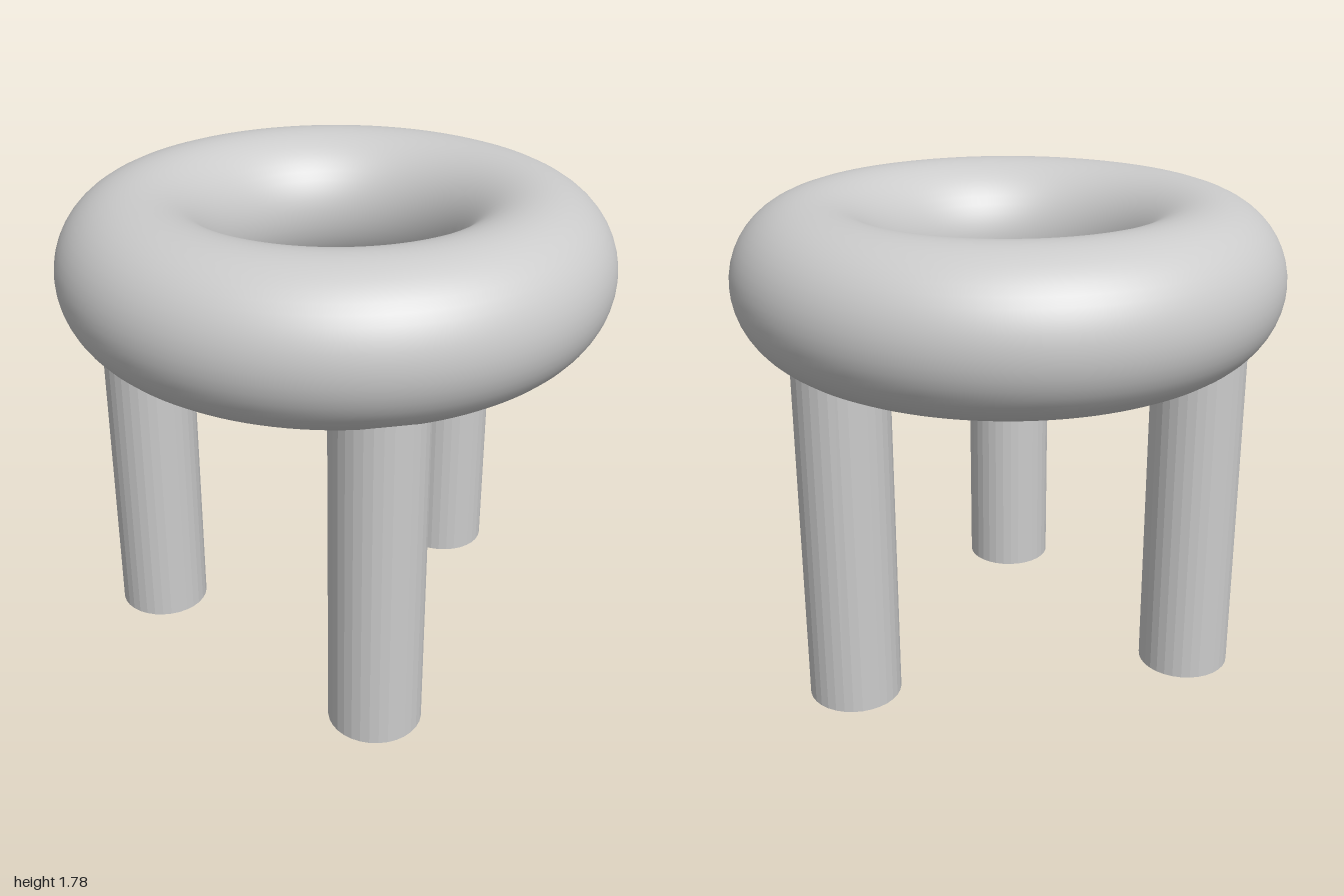
import * as THREE from 'three';

const RING_RADIUS = 0.715;
const TUBE_RADIUS = 0.285;
const SEAT_HEIGHT = 1.5;
const LEG_RADIUS = 0.17;

export function createModel() {
  const model = new THREE.Group();
  model.name = 'ringStool';
  const smooth = new THREE.MeshStandardMaterial({ color: 0xcccccc });
  const faceted = new THREE.MeshStandardMaterial({ color: 0xcccccc, flatShading: true });

  // Plump ring seat lying flat
  const seatGeometry = new THREE.TorusGeometry(RING_RADIUS, TUBE_RADIUS, 48, 128);
  seatGeometry.rotateX(-Math.PI / 2);
  const seat = new THREE.Mesh(seatGeometry, smooth);
  seat.name = 'seat';
  seat.position.y = SEAT_HEIGHT;
  model.add(seat);

  // Three round legs under the ring's centreline, ending inside the seat
  const legGeometry = new THREE.CylinderGeometry(LEG_RADIUS, LEG_RADIUS, SEAT_HEIGHT, 32);
  const legs = { leftLeg: 0, frontLeg: 127, backLeg: -127 };
  for (const [name, degrees] of Object.entries(legs)) {
    const angle = THREE.MathUtils.degToRad(degrees);
    const leg = new THREE.Mesh(legGeometry, faceted);
    leg.name = name;
    leg.position.set(RING_RADIUS * Math.cos(angle), SEAT_HEIGHT / 2, RING_RADIUS * Math.sin(angle));
    model.add(leg);
  }
  return model;
}
